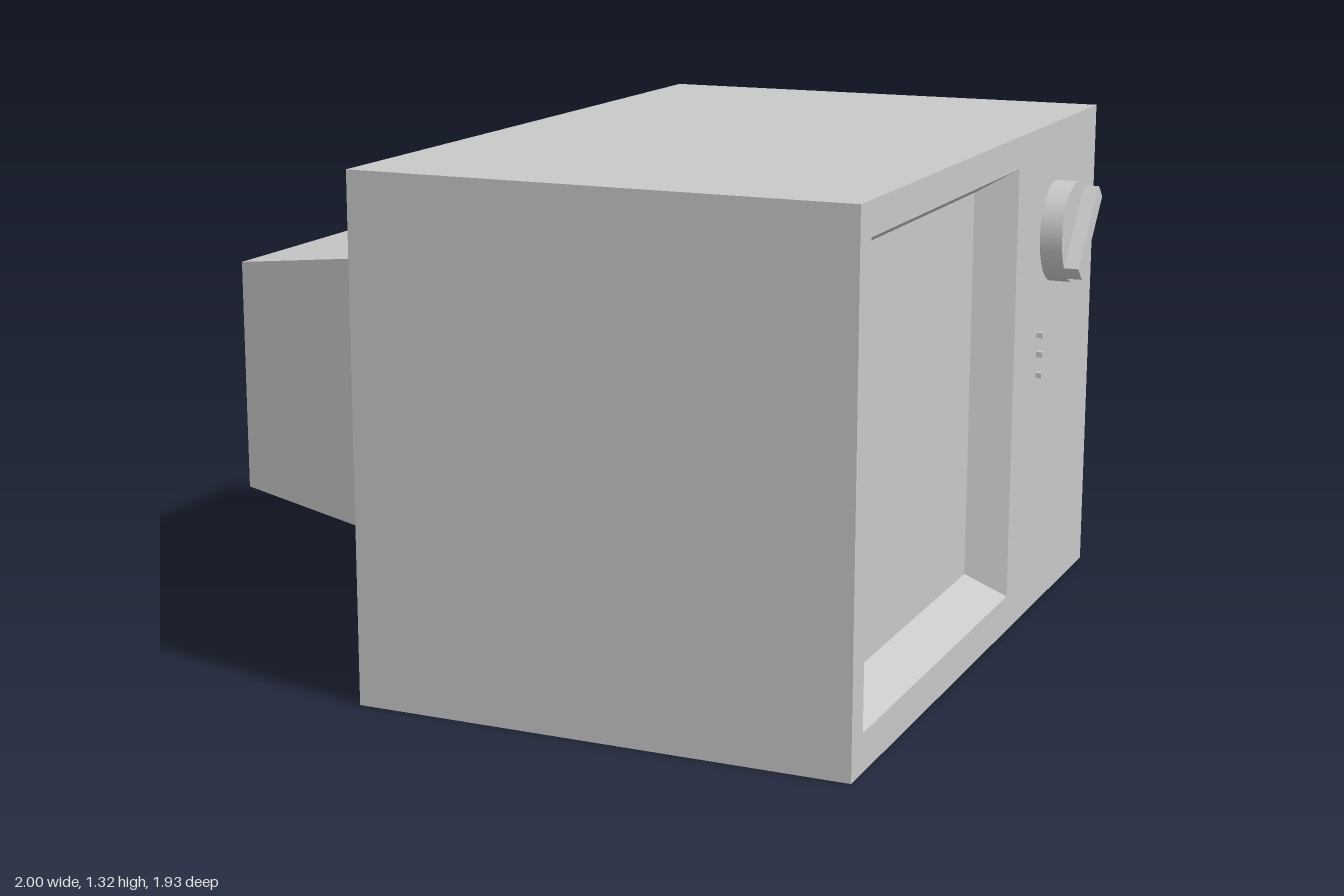
import * as THREE from 'three';
import { toCreasedNormals } from 'three/addons/utils/BufferGeometryUtils.js';

// Rectangular cross-section at x, counter-clockwise as seen from +x
const ring = (x, y0, y1, z0, z1) => [[x, y0, z1], [x, y0, z0], [x, y1, z0], [x, y1, z1]];

// Flat-faced skin through successive rings, with optional caps
function loft(rings, capStart = false, capEnd = false) {
  const pos = [];
  const quad = (a, b, c, d) => [a, b, c, a, c, d].forEach((p) => pos.push(...p));
  for (let r = 0; r < rings.length - 1; r++) {
    const A = rings[r], B = rings[r + 1];
    for (let i = 0; i < 4; i++) {
      const j = (i + 1) % 4;
      quad(A[i], A[j], B[j], B[i]);
    }
  }
  if (capStart) quad(...[...rings[0]].reverse());
  if (capEnd) quad(...rings[rings.length - 1]);
  const g = new THREE.BufferGeometry();
  g.setAttribute('position', new THREE.Float32BufferAttribute(pos, 3));
  g.computeVertexNormals();
  return g;
}

export function createModel() {
  const model = new THREE.Group();
  model.name = 'television';
  const grey = new THREE.MeshStandardMaterial({ color: 0xc8c8c8 });
  grey.name = 'light grey';
  const add = (name, geometry, parent = model) => {
    const mesh = new THREE.Mesh(geometry, grey);
    mesh.name = name;
    parent.add(mesh);
    return mesh;
  };

  const back = ring(-1, 0.355, 0.965, -0.455, 0.455);
  const neck = ring(-0.51, 0.29, 1.027, -0.545, 0.545);
  const rear = ring(-0.37, 0, 1.315, -0.967, 0.967);
  const front = ring(0.9, 0, 1.315, -0.967, 0.967);
  const opening = ring(0.9, 0.096, 1.232, -0.225, 0.894);
  const inner = ring(0.797, 0.158, 1.172, -0.179, 0.819);

  // Tube housing, cabinet with its front panel, sunken bezel and screen
  add('tubeHousing', loft([back, neck, rear], true));
  add('cabinet', loft([rear, front, opening]));
  add('screenBezel', loft([opening, inner]));
  add('screen', loft([inner], false, true));

  // Round dial with a diagonal grip running right across it
  const knob = new THREE.Group();
  knob.name = 'channelKnob';
  knob.position.set(0.9, 1.022, -0.57);
  model.add(knob);
  const R = 0.135;
  add('knobBase', new THREE.CylinderGeometry(R, R, 0.06, 48).rotateZ(-Math.PI / 2).translate(0.03, 0, 0), knob);
  const a = Math.asin(0.026 / R);
  const grip = new THREE.Shape();
  grip.absarc(0, 0, R, -a, a, false);
  grip.absarc(0, 0, R, Math.PI - a, Math.PI + a, false);
  const gripGeometry = new THREE.ExtrudeGeometry(grip, { depth: 0.04, bevelEnabled: false, curveSegments: 6 })
    .rotateZ(THREE.MathUtils.degToRad(48)).rotateY(Math.PI / 2).translate(0.06, 0, 0);
  add('knobGrip', toCreasedNormals(gripGeometry, 0.6), knob);

  // Three small buttons under the dial
  for (const y of [0.76, 0.708, 0.651]) {
    add('button', new THREE.BoxGeometry(0.016, 0.014, 0.018)).position.set(0.908, y, -0.443);
  }
  return model;
}
